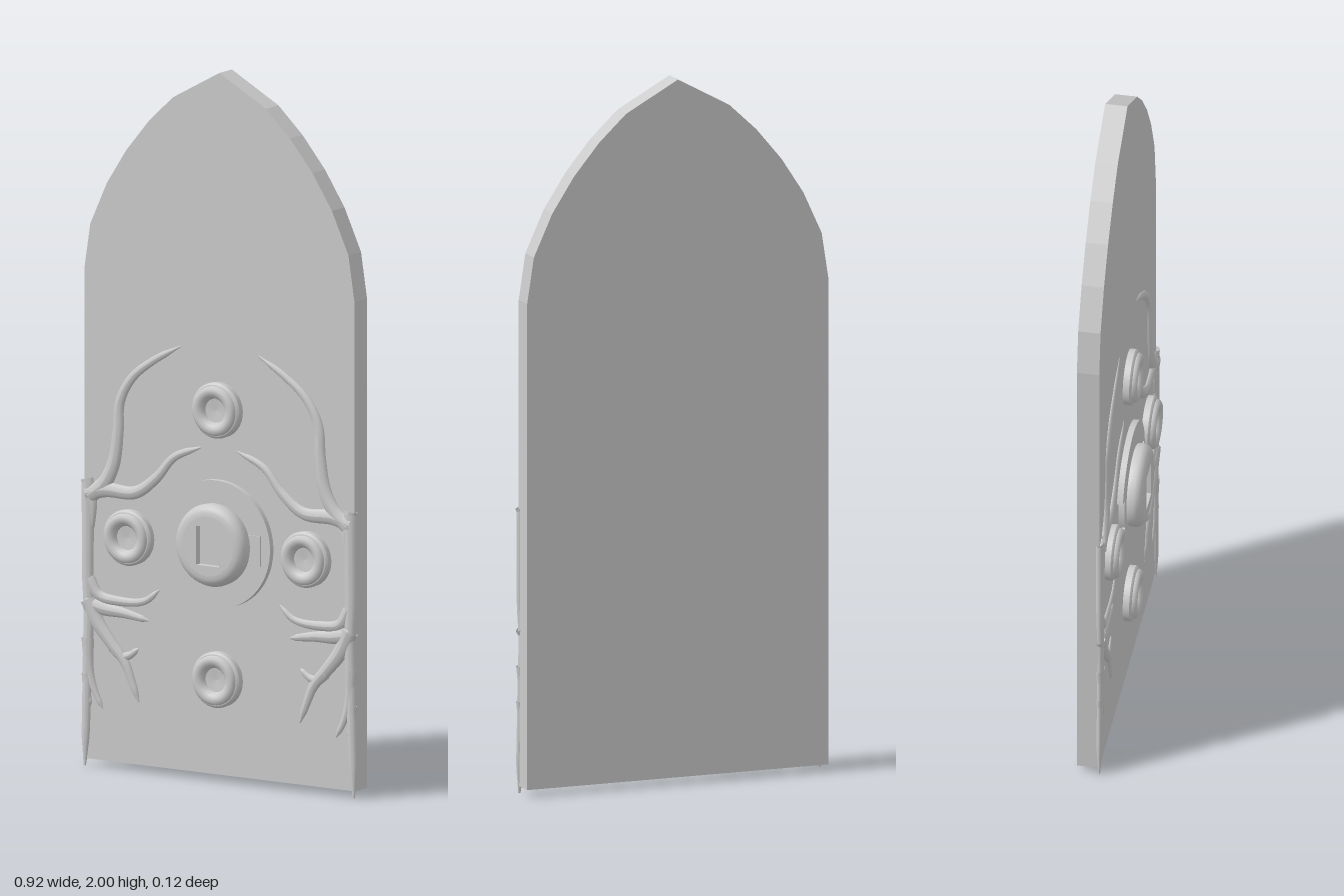
import * as THREE from 'three';

const material = new THREE.MeshStandardMaterial({ color: 0xcccccc, side: THREE.DoubleSide });
const flatMaterial = new THREE.MeshStandardMaterial({ color: 0xcccccc, flatShading: true });

function add(parent, name, geometry, mat = material) {
  const mesh = new THREE.Mesh(geometry, mat);
  mesh.name = name;
  parent.add(mesh);
  return mesh;
}

// Lathe turned so that its axis points to the front; profile is [radius, z].
// Each span gets its own vertices, which keeps the turned steps crisp.
function turned(parent, name, profile, x, y) {
  const group = new THREE.Group();
  group.name = name;
  const points = profile.map(([r, z]) => new THREE.Vector2(r, z));
  add(group, name + 'Body', new THREE.LatheGeometry(points, 40).rotateX(Math.PI / 2));
  group.position.set(x, y, 0);
  parent.add(group);
  return group;
}

// Flattened tube along [x, y] points, its radius running from r0 to r1
function root(parent, name, side, points, r0, r1) {
  const curve = new THREE.CatmullRomCurve3(points.map(([x, y]) => new THREE.Vector3(side * x, y, 0)));
  const steps = 36, sides = 12;
  const geometry = new THREE.TubeGeometry(curve, steps, 1, sides);
  const pos = geometry.attributes.position;
  for (let i = 0; i <= steps; i++) {
    const t = i / steps, c = curve.getPointAt(t);
    const r = THREE.MathUtils.lerp(r0, r1, t) * (t > 0.9 ? 1 - (t - 0.9) * 7 : 1);
    for (let j = 0; j <= sides; j++) {
      const k = i * (sides + 1) + j;
      pos.setXYZ(k, c.x + (pos.getX(k) - c.x) * r, c.y + (pos.getY(k) - c.y) * r, pos.getZ(k) * r * 0.65);
    }
  }
  geometry.computeVertexNormals();
  return add(parent, name, geometry);
}

export function createModel() {
  const model = new THREE.Group();
  model.name = 'archedDoor';

  // Two door leaves meeting on a centre seam under a pointed arch
  const arch = [[0.45, 0.02], [0.45, 1.4], [0.43, 1.53], [0.375, 1.65], [0.31, 1.75], [0.235, 1.84], [0.155, 1.915], [0, 2]];
  for (const side of [1, -1]) {
    const shape = new THREE.Shape();
    shape.moveTo(0, 0.02);
    arch.forEach(([x, y]) => shape.lineTo(side * x, y));
    shape.closePath();
    const leaf = new THREE.ExtrudeGeometry(shape, { depth: 0.063, bevelEnabled: false });
    add(model, side > 0 ? 'leftLeaf' : 'rightLeaf', leaf, flatMaterial).position.z = -0.063;
  }

  // Roots creeping in from both outer edges
  const roots = [
    ['edgeTrunk', [[0.436, 0.8], [0.437, 0.68], [0.438, 0.54], [0.434, 0.44], [0.438, 0.32], [0.442, 0.18], [0.448, 0.0]], 0.021, 0.012],
    ['edgeKnot', [[0.44, 0.81], [0.432, 0.78], [0.424, 0.74], [0.43, 0.66]], 0.02, 0.012],
    ['upperVine', [[0.43, 0.765], [0.385, 0.8], [0.352, 0.86], [0.337, 0.95], [0.33, 1.04], [0.29, 1.11], [0.22, 1.165], [0.13, 1.215]], 0.024, 0.008],
    ['middleVine', [[0.44, 0.77], [0.38, 0.785], [0.28, 0.787], [0.21, 0.835], [0.15, 0.9], [0.06, 0.938]], 0.024, 0.008],
    ['innerRoot', [[0.432, 0.53], [0.4, 0.485], [0.34, 0.475], [0.25, 0.483], [0.2, 0.52]], 0.018, 0.008],
    ['straightRoot', [[0.44, 0.46], [0.38, 0.448], [0.32, 0.443], [0.235, 0.43]], 0.024, 0.008],
    ['longRoot', [[0.435, 0.47], [0.405, 0.41], [0.36, 0.355], [0.315, 0.305], [0.29, 0.25], [0.268, 0.195]], 0.026, 0.009],
    ['forkedRoot', [[0.355, 0.345], [0.325, 0.32], [0.3, 0.325], [0.27, 0.347]], 0.018, 0.007],
    ['lowRoot', [[0.438, 0.36], [0.432, 0.27], [0.415, 0.215], [0.388, 0.165]], 0.02, 0.007],
    ['lowestRoot', [[0.442, 0.26], [0.44, 0.21], [0.43, 0.17]], 0.016, 0.008],
  ];
  for (const side of [1, -1]) {
    const group = new THREE.Group();
    group.name = side > 0 ? 'leftRoots' : 'rightRoots';
    for (const [name, points, r0, r1] of roots) root(group, name, side, points, r0, r1);
    model.add(group);
  }

  // Four stepped studs with dished centres
  const stud = [[0.078, -0.01], [0.079, 0.018], [0.079, 0.018], [0.074, 0.024], [0.07, 0.024], [0.07, 0.024],
    [0.069, 0.031], [0.062, 0.037], [0.052, 0.037], [0.043, 0.033], [0.036, 0.026], [0.034, 0.018], [0.034, 0.018], [0, 0.014]];
  const spots = { topStud: [0, 1.05], bottomStud: [0, 0.29], leftStud: [0.295, 0.66], rightStud: [-0.295, 0.66] };
  for (const [name, [x, y]] of Object.entries(spots)) turned(model, name, stud, x, y);

  // Lock plate, notched on one side
  const lock = new THREE.Group();
  lock.name = 'lock';
  lock.position.y = 0.673;
  model.add(lock);
  const plate = new THREE.Shape();
  plate.absarc(0, 0, 0.18, -Math.PI + 0.33, Math.PI - 0.33, false);
  plate.absarc(0, 0, 0.145, Math.PI - 0.33, Math.PI + 0.33, false);
  plate.closePath();
  add(lock, 'lockPlate', new THREE.ExtrudeGeometry(plate, { depth: 0.017, bevelEnabled: false, curveSegments: 48 }));
  add(lock, 'lockTab', new THREE.BoxGeometry(0.04, 0.085, 0.012)).position.set(0.13, -0.005, 0.015);

  // Rounded knob with a rectangular keyhole
  const knob = [[0.108, 0], [0.112, 0.015], [0.116, 0.02], [0.117, 0.037], [0.113, 0.047], [0.105, 0.055], [0.095, 0.059], [0.084, 0.06]];
  turned(lock, 'knob', knob, 0, 0);
  const face = new THREE.Shape().absarc(0, 0, 0.084, 0, Math.PI * 2);
  face.holes.push(new THREE.Path([[-0.038, -0.055], [-0.038, 0.055], [0.038, 0.055], [0.038, -0.055]].map(p => new THREE.Vector2(...p))));
  add(lock, 'knobFace', new THREE.ExtrudeGeometry(face, { depth: 0.03, bevelEnabled: false, curveSegments: 40 })).position.z = 0.03;
  add(lock, 'keyholeFloor', new THREE.BoxGeometry(0.078, 0.112, 0.01)).position.z = 0.035;

  return model;
}
